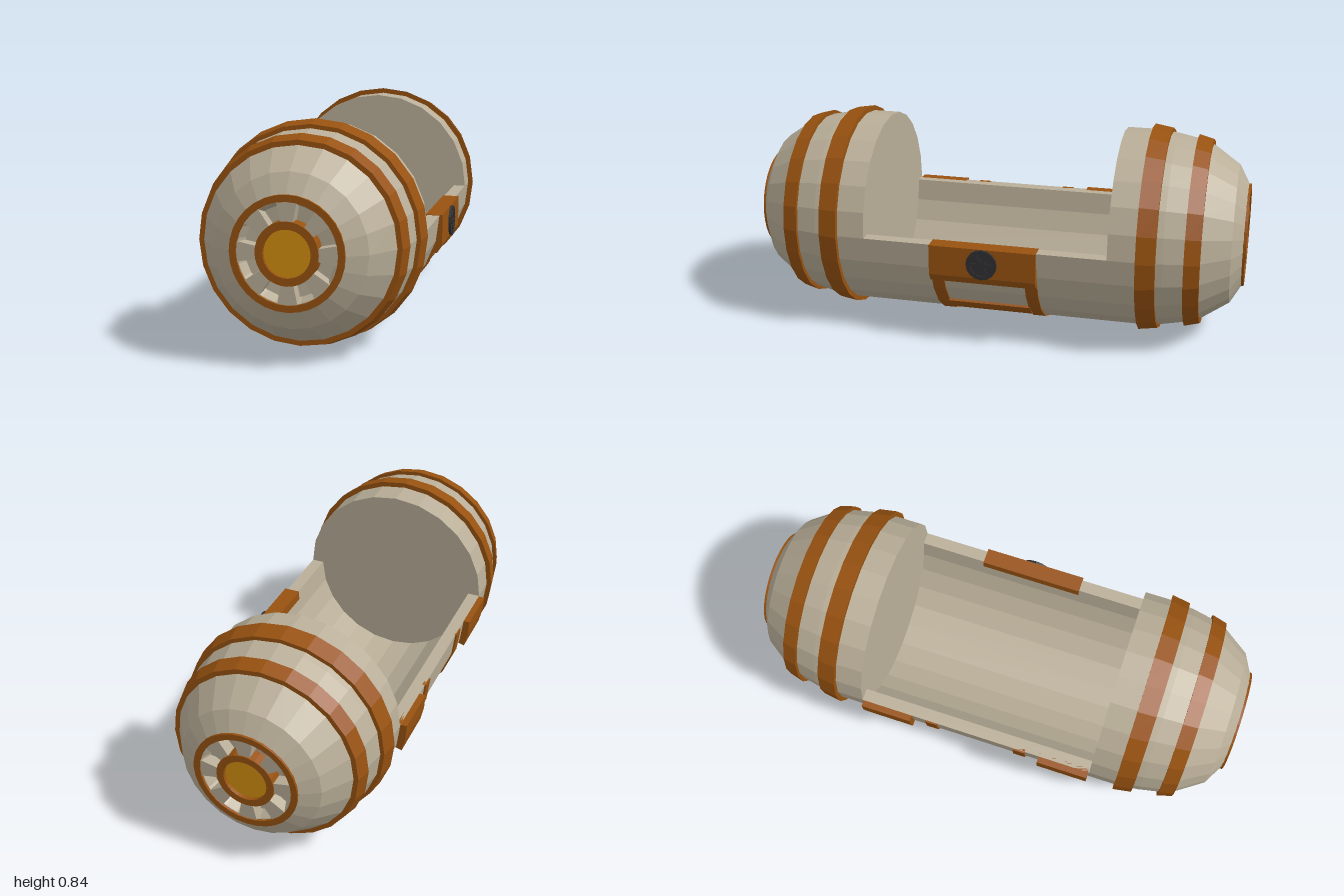
import * as THREE from 'three';

const rad = THREE.MathUtils.degToRad;
const SIDES = 24;

function material(name, color) {
  const m = new THREE.MeshStandardMaterial({ color, flatShading: true });
  m.name = name;
  return m;
}

export function createModel() {
  const beige = material('beige shell', 0xb9ae98);
  const orange = material('burnt orange trim', 0x985210);
  const amber = material('amber lens', 0xd48f10);
  const dark = material('dark knob', 0x2f2f32);

  const root = new THREE.Group();
  root.name = 'capsule';
  const body = new THREE.Group();
  body.name = 'body';
  body.position.y = 0.42; // the long axis runs along z at this height
  root.add(body);

  function add(parent, name, geometry, mat) {
    const mesh = new THREE.Mesh(geometry, mat);
    mesh.name = name;
    parent.add(mesh);
    return mesh;
  }

  // Profile of [radius, z] pairs turned around the z axis
  function turned(profile, sides = SIDES) {
    const pts = profile.map(([r, z]) => new THREE.Vector2(r, z));
    return new THREE.LatheGeometry(pts, sides).rotateX(Math.PI / 2);
  }

  // Curved slab: ring sector between angles in degrees, extruded along z
  function sector(r0, r1, a0, a1, z0, z1, step = 15) {
    const n = Math.max(1, Math.ceil((a1 - a0) / step));
    const pts = [];
    const put = (r, a) => pts.push(new THREE.Vector2(r * Math.cos(rad(a)), r * Math.sin(rad(a))));
    for (let i = 0; i <= n; i++) put(r1, a0 + ((a1 - a0) * i) / n);
    for (let i = n; i >= 0; i--) put(r0, a0 + ((a1 - a0) * i) / n);
    return new THREE.ExtrudeGeometry(new THREE.Shape(pts), { depth: z1 - z0, bevelEnabled: false })
      .translate(0, 0, z0);
  }

  // Domed end with trim bands and a lamp set into its nose
  function makeEnd(name) {
    const end = new THREE.Group();
    end.name = name;
    add(end, 'dome', turned([
      [0, 0.49], [0.4, 0.49], [0.4, 0.62], [0.39, 0.7], [0.372, 0.79], [0.355, 0.84],
      [0.28, 0.95], [0.2, 0.995], [0.18, 0.99], [0.165, 0.95], [0, 0.94],
    ]), beige);
    add(end, 'wideBand', turned([
      [0.38, 0.6], [0.421, 0.6], [0.409, 0.675], [0.38, 0.675],
    ]), orange);
    add(end, 'narrowBand', turned([
      [0.35, 0.78], [0.39, 0.78], [0.374, 0.84], [0.345, 0.84],
    ]), orange);
    add(end, 'outerLampRing', turned([
      [0.207, 0.985], [0.207, 1], [0.182, 1], [0.182, 0.95],
    ], 32), orange);
    add(end, 'innerLampRing', turned([
      [0.114, 0.94], [0.114, 1], [0.086, 1], [0.086, 0.95],
    ], 32), orange);
    add(end, 'lampLens', new THREE.CylinderGeometry(0.087, 0.087, 0.04, 32)
      .rotateX(Math.PI / 2).translate(0, 0, 0.965), amber);
    for (let i = 0; i < 8; i++) {
      add(end, 'lampSpoke', sector(0.11, 0.184, i * 45 - 11.5, i * 45 + 11.5, 0.935, 0.995, 8), beige);
    }
    return end;
  }
  const front = makeEnd('frontEnd');
  const back = makeEnd('backEnd');
  back.rotation.y = Math.PI;
  body.add(front, back);

  // Open lower half joining the ends
  add(body, 'trough', sector(0.35, 0.4, 180, 360, -0.495, 0.495), beige);

  // Straps around the underside, joined by cross bars
  for (const s of [-1, 1]) {
    add(body, 'strap', sector(0.39, 0.407, 180, 345, s * 0.19 - 0.025, s * 0.19 + 0.025), orange);
  }
  for (const [a0, a1] of [[272, 283], [305.5, 316.5]]) {
    add(body, 'crossBar', sector(0.39, 0.408, a0, a1, -0.17, 0.17, 6), orange);
  }

  // Curved plates on the right rim
  for (const s of [-1, 1]) {
    add(body, 'rimPlate', sector(0.385, 0.426, 180, 197, s * 0.38 - 0.105, s * 0.38 + 0.105, 9), orange);
  }

  // Control housing on the left rim
  const housing = new THREE.Shape([
    [0.345, 0.002], [0.345, -0.06], [0.36, -0.152], [0.392, -0.152], [0.412, -0.12], [0.412, 0.002],
  ].map(([x, y]) => new THREE.Vector2(x, y)));
  add(body, 'controlHousing', new THREE.ExtrudeGeometry(housing, { depth: 0.43, bevelEnabled: false })
    .translate(0, 0, -0.215), orange);

  // Round knob with a raised rim, hub and spokes
  const knob = new THREE.Group();
  knob.name = 'knob';
  knob.position.set(0.41, -0.06, 0);
  knob.rotation.y = Math.PI / 2;
  body.add(knob);
  add(knob, 'knobBase', new THREE.CylinderGeometry(0.06, 0.06, 0.012, 16).rotateX(Math.PI / 2), dark);
  add(knob, 'knobRim', turned([
    [0.062, 0], [0.062, 0.012], [0.046, 0.012], [0.046, 0],
  ], 16), dark);
  add(knob, 'knobHub', new THREE.CylinderGeometry(0.02, 0.02, 0.012, 12)
    .rotateX(Math.PI / 2).translate(0, 0, 0.006), dark);
  for (let i = 0; i < 3; i++) {
    const bar = add(knob, 'knobSpoke', new THREE.BoxGeometry(0.1, 0.01, 0.01), dark);
    bar.position.z = 0.006;
    bar.rotation.z = (i * Math.PI) / 3;
  }

  return root;
}
